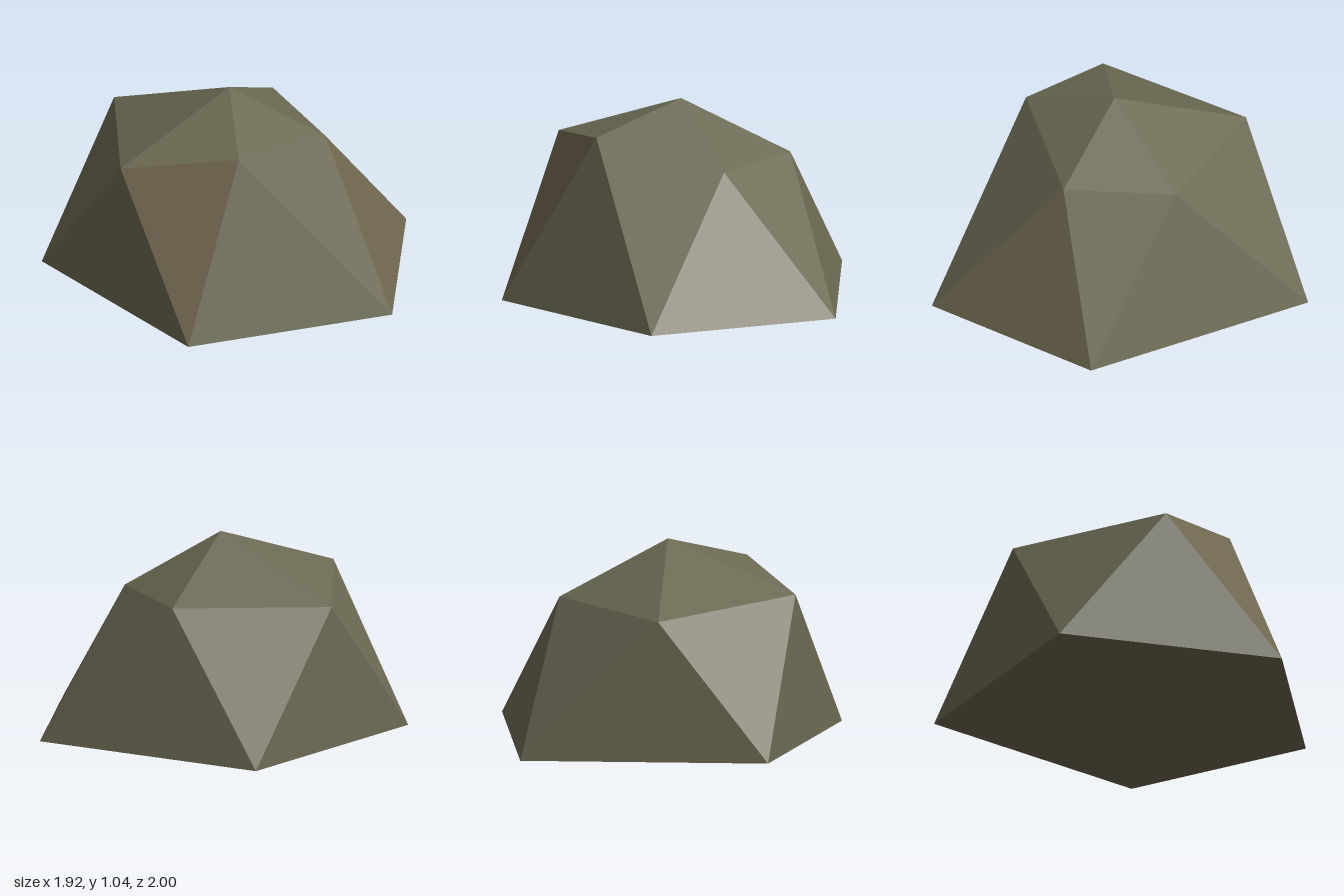
import * as THREE from 'three';

const stone = new THREE.MeshStandardMaterial({ color: 0x6b6952 });
stone.name = 'olive stone';
stone.flatShading = true;
const earth = new THREE.MeshStandardMaterial({ color: 0x70674f });
earth.name = 'brown stone';
earth.flatShading = true;

// Ground ring, shoulder ring (each point sits between two ground points) and peak
const base = [[-0.96, 0, 0.06], [-0.2, 0, 1], [0.875, 0, 0.66], [0.96, 0, -0.38], [-0.2, 0, -1]];
const shoulder = [[-0.55, 0.79, 0.49], [0.07, 0.89, 0.58], [0.53, 0.745, 0.06], [0.26, 0.745, -0.465], [-0.575, 0.74, -0.38]];
const peak = [0.025, 1.04, 0.06];

function facets(name, triangles, material) {
  const geometry = new THREE.BufferGeometry();
  geometry.setAttribute('position', new THREE.Float32BufferAttribute(triangles.flat(2), 3));
  geometry.computeVertexNormals();
  const mesh = new THREE.Mesh(geometry, material);
  mesh.name = name;
  return mesh;
}

export function createModel() {
  const group = new THREE.Group();
  group.name = 'rock';
  const sides = [], brownSides = [], crown = [], underside = [];

  for (let i = 0; i < 5; i++) {
    const j = (i + 1) % 5;
    // Upright facets, with one brown facet on the left side
    (i === 2 ? brownSides : sides).push([base[i], base[j], shoulder[i]]);
    // Inverted facets, except the one at the front, which is brown
    (i === 0 ? brownSides : sides).push([base[j], shoulder[j], shoulder[i]]);
    crown.push([shoulder[i], shoulder[j], peak]);
    // Flat bottom as a fan
    if (i > 0 && i < 4) underside.push([base[0], base[j], base[i]]);
  }

  group.add(
    facets('sides', sides, stone),
    facets('brownSides', brownSides, earth),
    facets('crown', crown, stone),
    facets('underside', underside, earth),
  );
  return group;
}
